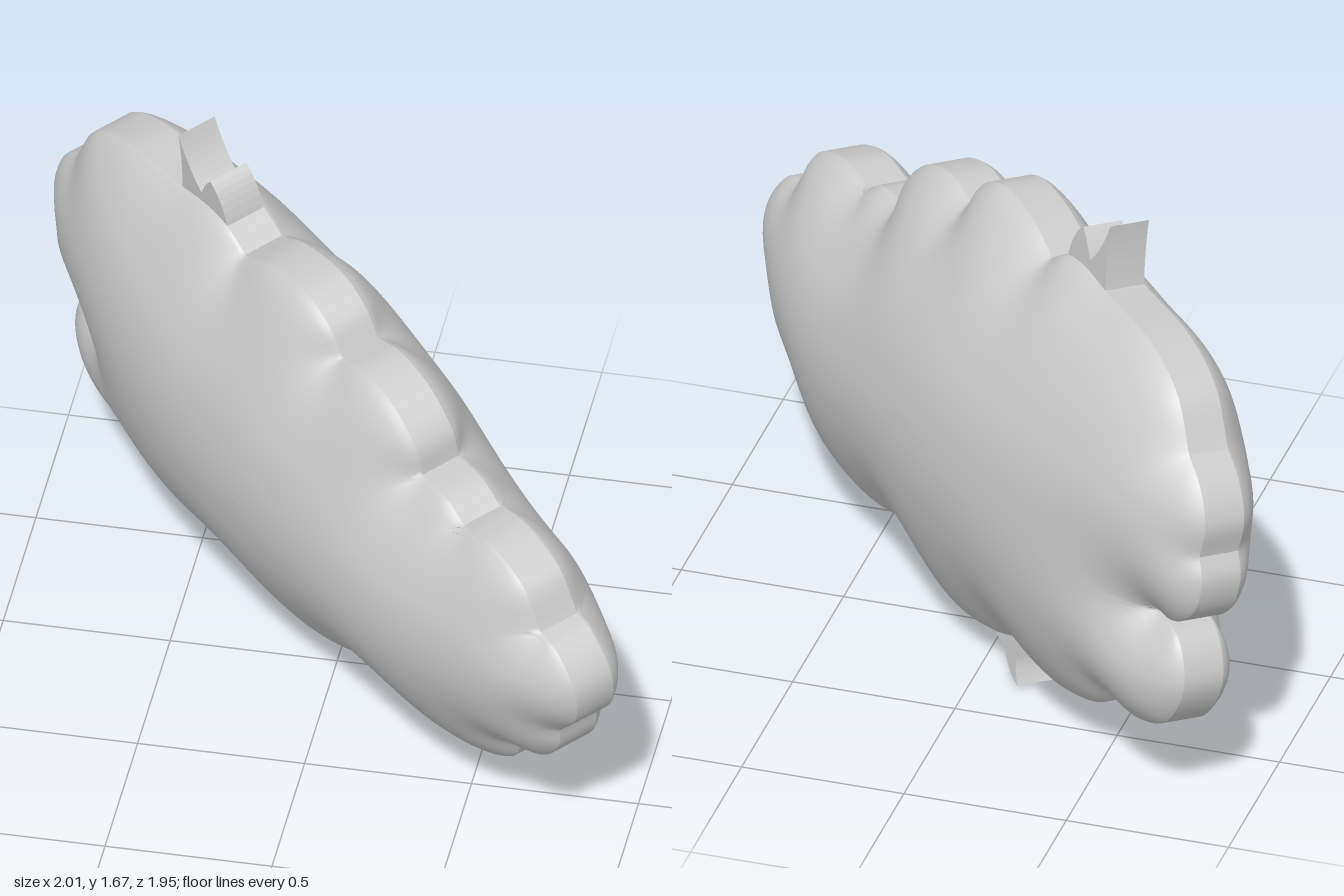
import * as THREE from 'three';

const HALF = 0.065;   // half width of the flat rim band
const PUFF = 0.29;    // how far each face swells beyond the rim
const PIVOT = 0.75;   // height the whole cloud turns about

// Scalloped outline, clockwise; each lobe runs from one crease to the next
const LOBES = [
  [[-1.165, 1.21], [-1.06, 1.36], [-0.88, 1.44], [-0.6, 1.46]],
  [[-0.6, 1.46], [-0.46, 1.475], [-0.36, 1.46], [-0.277, 1.405]],
  [[-0.277, 1.405], [-0.14, 1.465], [0.05, 1.48], [0.16, 1.42], [0.21, 1.335]],
  [[0.21, 1.335], [0.34, 1.36], [0.477, 1.32], [0.577, 1.22], [0.595, 1.13]],
  [[0.595, 1.13], [0.72, 1.12], [0.8, 1.07]],
  [[0.8, 1.07], [0.86, 1.085], [0.95, 1.09], [1.1, 1.03], [1.17, 0.9]],
  [[1.17, 0.9], [1.24, 0.88], [1.325, 0.77], [1.31, 0.65], [1.216, 0.545]],
  [[1.216, 0.545], [1.19, 0.46], [1.1, 0.37], [0.983, 0.335]],
  [[0.983, 0.335], [0.93, 0.25], [0.8, 0.18], [0.57, 0.145], [0.31, 0.19]],
  [[0.31, 0.19], [0.18, 0.13], [0.006, 0.08], [-0.175, 0.1], [-0.355, 0.165]],
  [[-0.355, 0.165], [-0.42, 0.145], [-0.6, 0.135], [-0.807, 0.19], [-0.923, 0.27]],
  [[-0.923, 0.27], [-1.02, 0.26], [-1.197, 0.33], [-1.28, 0.49], [-1.22, 0.62], [-1.09, 0.655]],
  [[-1.09, 0.655], [-1.2, 0.67], [-1.29, 0.75], [-1.315, 0.86], [-1.285, 0.93]],
  [[-1.285, 0.93], [-1.3, 1.04], [-1.25, 1.14], [-1.165, 1.21]],
];

// Surface through equal rows of points
function surface(rows, closed, flip) {
  const n = rows[0].length, pos = [], idx = [];
  for (const row of rows) for (const p of row) pos.push(...p);
  for (let i = 0; i < rows.length - 1; i++) {
    for (let j = 0; j < (closed ? n : n - 1); j++) {
      const k = (j + 1) % n;
      const a = i * n + j, b = i * n + k, c = a + n, d = b + n;
      if (flip) idx.push(a, c, b, b, c, d);
      else idx.push(a, b, c, b, d, c);
    }
  }
  const g = new THREE.BufferGeometry();
  g.setAttribute('position', new THREE.Float32BufferAttribute(pos, 3));
  g.setIndex(idx);
  g.computeVertexNormals();
  return g;
}

export function createModel() {
  const model = new THREE.Group();
  model.name = 'puffyCloud';
  const cloud = new THREE.Group();
  cloud.name = 'cloud';
  cloud.position.y = PIVOT;
  cloud.rotation.set(0.11, -0.773, 0, 'YXZ');
  model.add(cloud);

  const material = new THREE.MeshStandardMaterial({ color: 0xcccccc });
  const add = (name, geometry) => {
    geometry.translate(0, -PIVOT, 0);
    const mesh = new THREE.Mesh(geometry, material);
    mesh.name = name;
    cloud.add(mesh);
  };

  // Rim band, one strip per lobe so the creases stay sharp
  const outline = [];
  LOBES.forEach((lobe, i) => {
    const curve = new THREE.CatmullRomCurve3(lobe.map(([x, y]) => new THREE.Vector3(x, y, 0)));
    const pts = curve.getSpacedPoints(Math.ceil(curve.getLength() / 0.016));
    add('rim' + (i + 1), surface([HALF, -HALF].map((z) => pts.map((p) => [p.x, p.y, z])), false, false));
    outline.push(...pts.slice(0, -1));
  });

  // Swelling: zero at the outline, a smooth dome inside
  const swell = (x, y) => {
    let sum = 0;
    outline.forEach((p, i) => {
      const q = outline[(i + 1) % outline.length];
      sum += p.distanceTo(q) / ((p.x - x) ** 2 + (p.y - y) ** 2 + 1e-9);
    });
    return sum ** -0.8;
  };
  const cx = 0, cy = 0.78, RINGS = 26;
  const top = swell(cx, cy);

  // Puffed faces: rings shrinking from the outline to the middle
  const rings = [];
  for (let k = 0; k <= RINGS; k++) {
    const s = 1 - (k / RINGS) ** 1.6;
    rings.push(outline.map((p) => {
      const x = cx + (p.x - cx) * s, y = cy + (p.y - cy) * s;
      const h = k === 0 ? 0 : PUFF * swell(x, y) / top;
      return [x, y, HALF + h];
    }));
  }
  add('frontPuff', surface(rings, true, true));
  add('backPuff', surface(rings.map((r) => r.map(([x, y, z]) => [x, y, -z])), true, false));

  // Flat wisps standing out of the rim
  const wisp = (name, draw) => {
    const shape = new THREE.Shape();
    draw(shape);
    const g = new THREE.ExtrudeGeometry(shape, { depth: 2 * HALF, bevelEnabled: false, curveSegments: 8 });
    g.translate(0, 0, -HALF);
    add(name, g);
  };
  wisp('tallWisp', (s) => {
    s.moveTo(-0.6, 1.42);
    s.quadraticCurveTo(-0.575, 1.55, -0.58, 1.67);
    s.quadraticCurveTo(-0.55, 1.57, -0.48, 1.5);
    s.lineTo(-0.45, 1.42);
  });
  wisp('shortWisp', (s) => {
    s.moveTo(-0.52, 1.42);
    s.quadraticCurveTo(-0.49, 1.53, -0.43, 1.59);
    s.quadraticCurveTo(-0.37, 1.55, -0.355, 1.42);
  });
  wisp('tailWisp', (s) => {
    s.moveTo(-0.18, 0.14);
    s.lineTo(-0.2, 0.095);
    s.bezierCurveTo(-0.27, 0.09, -0.26, 0.02, -0.345, 0);
    s.quadraticCurveTo(-0.31, 0.06, -0.32, 0.105);
    s.quadraticCurveTo(-0.36, 0.1, -0.395, 0.125);
    s.quadraticCurveTo(-0.355, 0.13, -0.34, 0.18);
  });

  return model;
}
